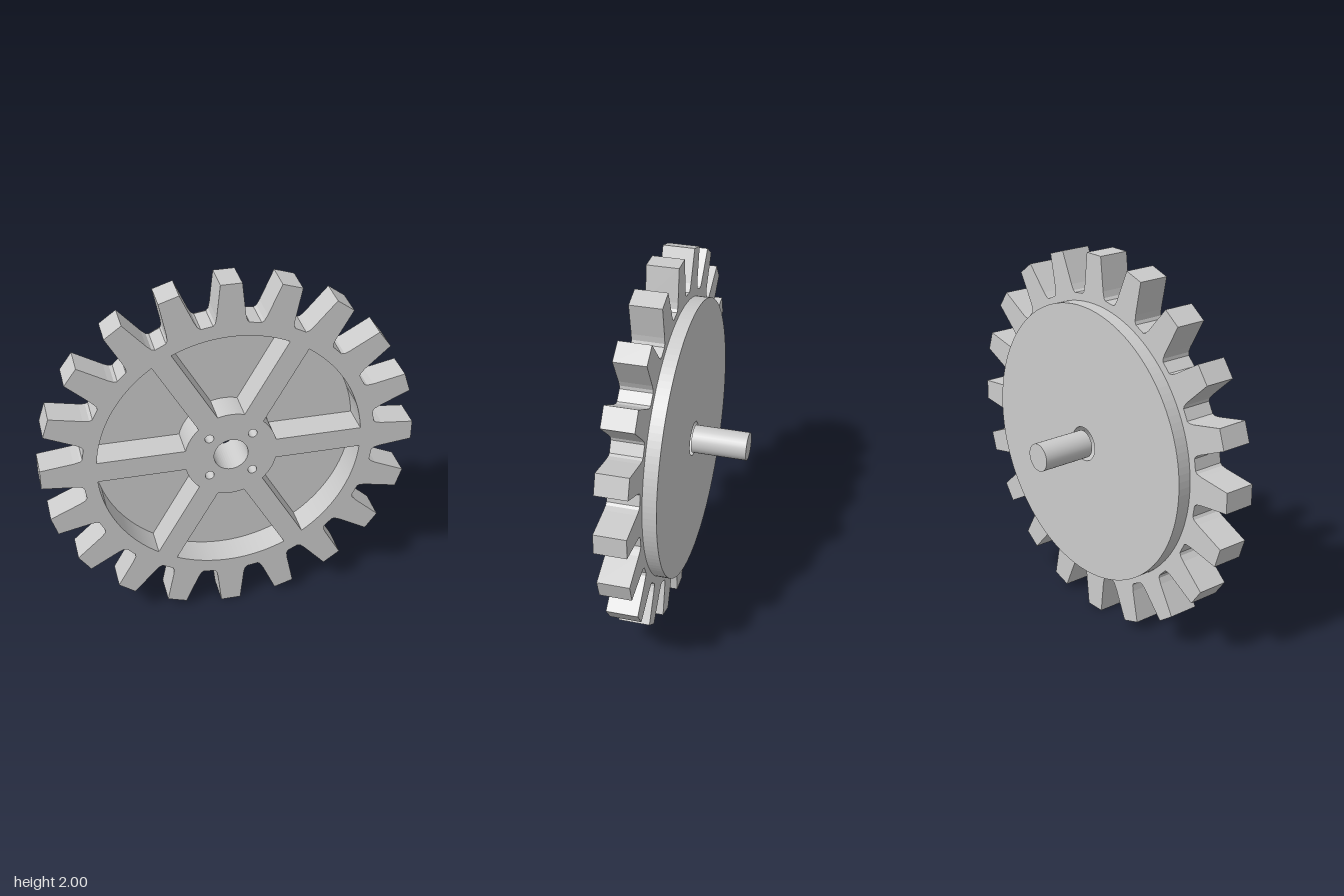
import * as THREE from 'three';

const TEETH = 20, SPOKES = 6;
const FRONT = 0.083, BACK = -0.083, PLATE_BACK = -0.155;
const BORE = 0.092;

const grey = () => new THREE.MeshStandardMaterial({ color: 0xcccccc });

function circleHole(x, y, r) {
  return new THREE.Path().absarc(x, y, r, 0, Math.PI * 2, true);
}

// Extrudes a shape between two depths along z
function slab(name, shape, z0, z1, curveSegments) {
  const geo = new THREE.ExtrudeGeometry(shape, { depth: z1 - z0, bevelEnabled: false, curveSegments });
  const mesh = new THREE.Mesh(geo.translate(0, 0, z0), grey());
  mesh.name = name;
  return mesh;
}

// Outline of tapered teeth with softened roots
function toothedOutline() {
  const half = [[0.78, 0.092], [0.793, 0.081], [0.825, 0.074], [1, 0.055]]; // [radius, half width]
  const profile = [
    ...half.map(([r, w]) => [r, -w]),
    ...half.slice().reverse().map(([r, w]) => [r, w]),
  ];
  const points = [];
  for (let i = 0; i < TEETH; i++) {
    const a = (i / TEETH) * Math.PI * 2, c = Math.cos(a), s = Math.sin(a);
    for (const [u, v] of profile) points.push(new THREE.Vector2(u * c - v * s, u * s + v * c));
  }
  return new THREE.Shape(points);
}

// Pocket between two parallel-sided spokes
function pocket(i) {
  const inner = 0.25, outer = 0.71, w = 0.058;
  const a0 = (i / SPOKES) * Math.PI * 2, a1 = ((i + 1) / SPOKES) * Math.PI * 2;
  const di = Math.asin(w / inner), d = Math.asin(w / outer);
  const path = new THREE.Path();
  path.absarc(0, 0, outer, a0 + d, a1 - d, false);
  path.absarc(0, 0, inner, a1 - di, a0 + di, true);
  path.closePath();
  return path;
}

export function createModel() {
  const model = new THREE.Group();
  model.name = 'gearWheel';

  const gear = new THREE.Group();
  gear.name = 'gearAssembly';
  gear.position.y = 1;
  gear.rotation.y = THREE.MathUtils.degToRad(-25);
  model.add(gear);

  // Toothed rim, spokes and drilled hub
  const wheel = toothedOutline();
  for (let i = 0; i < SPOKES; i++) wheel.holes.push(pocket(i));
  wheel.holes.push(circleHole(0, 0, BORE));
  for (const x of [-1, 1]) for (const y of [-1, 1]) {
    wheel.holes.push(circleHole(x * 0.116, y * 0.116, 0.024));
  }
  gear.add(slab('toothedWheel', wheel, BACK, FRONT, 24));

  // Round plate closing the back of the pockets
  const disc = new THREE.Shape().absarc(0, 0, 0.745, 0, Math.PI * 2, false);
  disc.holes.push(circleHole(0, 0, BORE));
  gear.add(slab('backPlate', disc, PLATE_BACK, BACK, 64));

  // Axle stub behind the plate: open towards the bore, capped at the far end
  const start = -0.157, end = -0.449, r = 0.074;
  const axle = new THREE.Group();
  axle.name = 'axle';
  const wall = new THREE.Mesh(
    new THREE.CylinderGeometry(r, r, start - end, 32, 1, true).rotateX(Math.PI / 2), grey());
  wall.name = 'axleWall';
  wall.position.z = (start + end) / 2;
  const cap = new THREE.Mesh(new THREE.CircleGeometry(r, 32).rotateY(Math.PI), grey());
  cap.name = 'axleEnd';
  cap.position.z = end;
  axle.add(wall, cap);
  gear.add(axle);

  return model;
}
